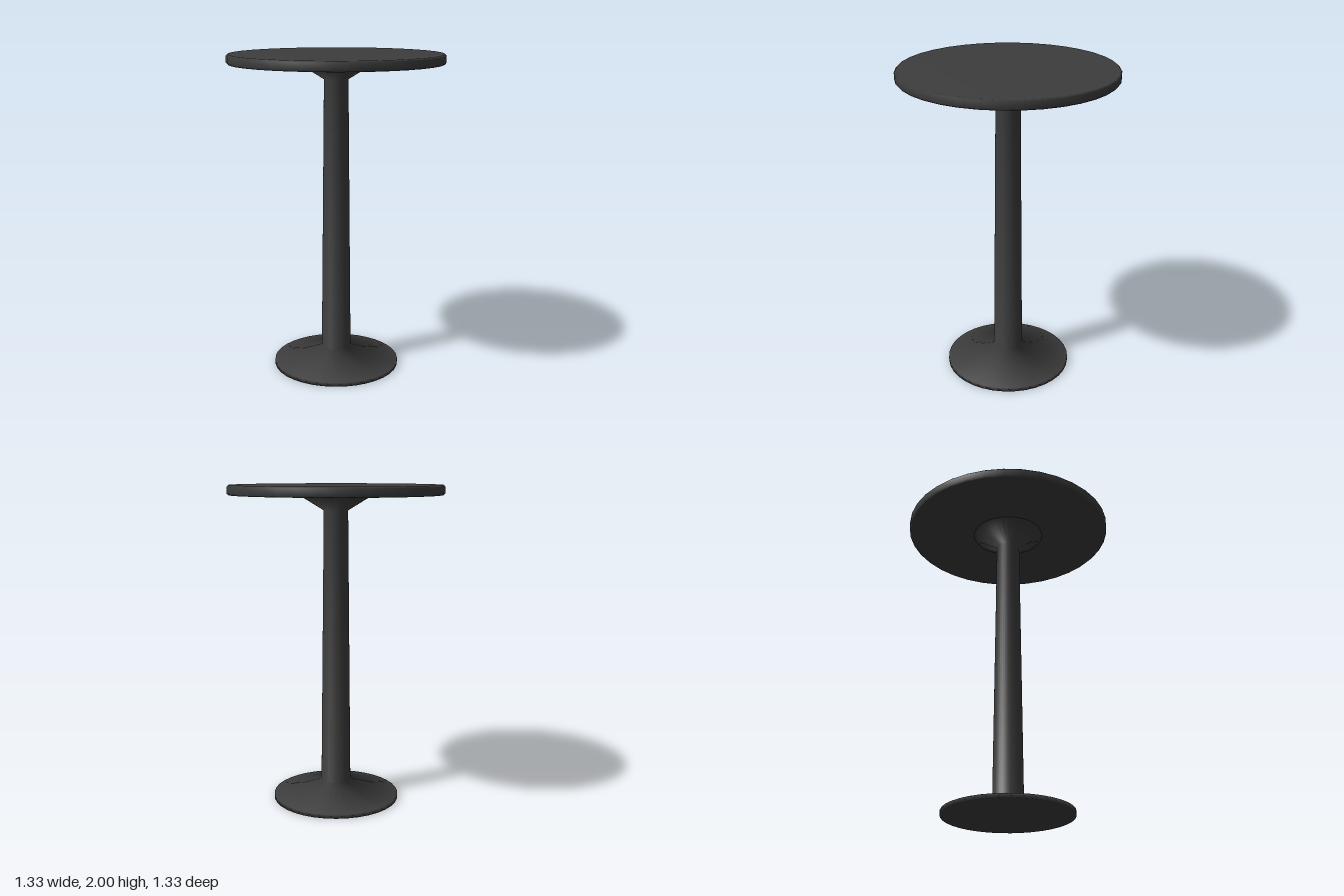
import * as THREE from 'three';

const SIDES = 36;

// Smooth turned part from [radius, height] points, listed from the bottom up
function turned(name, profile, material) {
  const points = profile.map(([r, y]) => new THREE.Vector2(r, y));
  const mesh = new THREE.Mesh(new THREE.LatheGeometry(points, SIDES), material);
  mesh.name = name;
  return mesh;
}

export function createModel() {
  const model = new THREE.Group();
  model.name = 'pedestalTable';

  const charcoal = new THREE.MeshStandardMaterial({ color: 0x3d3d3d });
  charcoal.name = 'charcoal';

  // Conical foot, tapering column and flared support in one sweep
  model.add(turned('pedestal', [
    [0, 0], [0.4, 0], [0.4, 0.027],
    [0.094, 0.115], [0.075, 1.845],
    [0.233, 1.942],
  ], charcoal));

  // Round top with a slightly softened rim
  model.add(turned('tableTop', [
    [0, 1.94], [0.655, 1.94], [0.665, 1.95],
    [0.665, 1.99], [0.655, 2], [0, 2],
  ], charcoal));

  return model;
}
